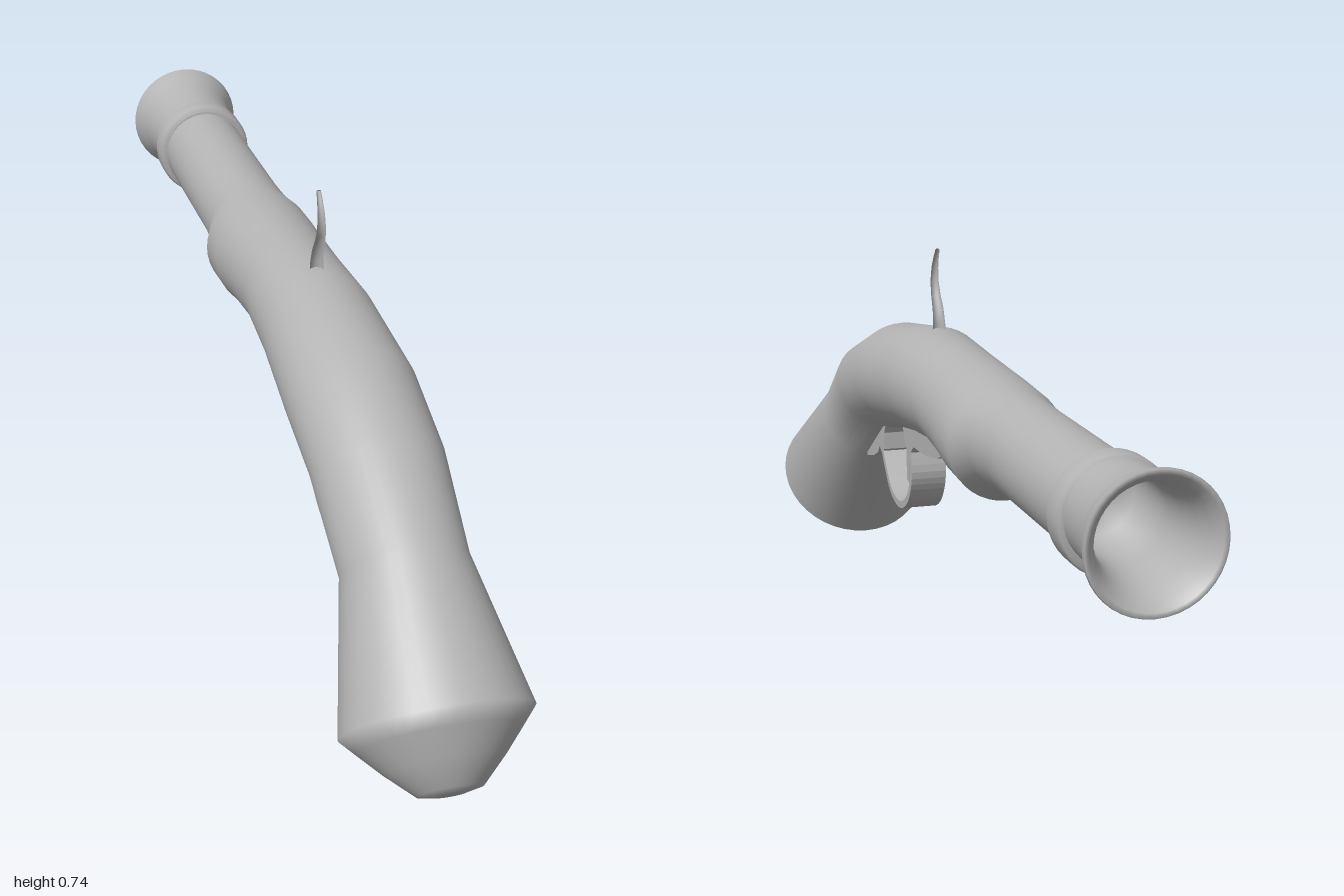
import * as THREE from 'three';

const steel = new THREE.MeshStandardMaterial({ color: 0xb4b4b4 });
steel.name = 'plain grey';

// Smooth skin over closed elliptical rings, each given as { c: centre, a, b: half axes }
function loft(rings, seg = 40) {
  const pos = [], idx = [];
  for (const { c, a, b } of rings) {
    for (let j = 0; j < seg; j++) {
      const t = (j / seg) * Math.PI * 2;
      const p = c.clone().addScaledVector(a, Math.cos(t)).addScaledVector(b, Math.sin(t));
      pos.push(p.x, p.y, p.z);
    }
  }
  for (let i = 0; i < rings.length - 1; i++) {
    for (let j = 0; j < seg; j++) {
      const k = (j + 1) % seg;
      const p = i * seg + j, q = i * seg + k, r = p + seg, s = q + seg;
      idx.push(p, r, q, q, r, s);
    }
  }
  const g = new THREE.BufferGeometry();
  g.setAttribute('position', new THREE.Float32BufferAttribute(pos, 3));
  g.setIndex(idx);
  g.computeVertexNormals();
  return g;
}

// Side outline (z, y) extruded across x
function sidePlate(points, width) {
  const shape = new THREE.Shape(points.map(([z, y]) => new THREE.Vector2(z, y)));
  const g = new THREE.ExtrudeGeometry(shape, { depth: width, bevelEnabled: false });
  return g.translate(0, 0, -width / 2).rotateY(-Math.PI / 2);
}

// Bent strip of even thickness along a (z, y) path
function ribbon(path, thick, width) {
  const curve = new THREE.SplineCurve(path.map(([z, y]) => new THREE.Vector2(z, y)));
  const outer = [], inner = [];
  for (let i = 0; i <= 32; i++) {
    const p = curve.getPoint(i / 32), t = curve.getTangent(i / 32);
    outer.push([p.x - t.y * thick / 2, p.y + t.x * thick / 2]);
    inner.unshift([p.x + t.y * thick / 2, p.y - t.x * thick / 2]);
  }
  return sidePlate([...outer, ...inner], width);
}

// Turned part along the barrel axis: profile of [radius, distance toward the muzzle]
function turned(profile, y) {
  const g = new THREE.LatheGeometry(profile.map(([r, d]) => new THREE.Vector2(r, d)), 40);
  return g.rotateX(-Math.PI / 2).translate(0, y, 0);
}

export function createModel() {
  const model = new THREE.Group();
  const add = (name, geometry) => {
    const mesh = new THREE.Mesh(geometry, steel);
    mesh.name = name;
    model.add(mesh);
    return mesh;
  };

  // Stock and barrel: top z, top y, bottom z, bottom y, half width
  const sections = [
    [1.0, 0.225, 0.77, 0.005, 0.157],
    [0.78, 0.367, 0.62, 0.215, 0.106],
    [0.62, 0.475, 0.46, 0.318, 0.113],
    [0.43, 0.545, 0.33, 0.35, 0.115],
    [0.18, 0.585, 0.17, 0.375, 0.105],
    [0.0, 0.582, 0.0, 0.39, 0.097],
    [-0.12, 0.579, -0.12, 0.38, 0.1],
    [-0.2, 0.577, -0.2, 0.367, 0.104],
    [-0.28, 0.573, -0.28, 0.364, 0.105],
    [-0.33, 0.571, -0.33, 0.396, 0.087],
    [-0.42, 0.57, -0.42, 0.402, 0.083],
    [-0.8, 0.573, -0.8, 0.405, 0.083],
  ];
  const rings = sections.map(([zt, yt, zb, yb, w]) => ({
    c: new THREE.Vector3(0, (yt + yb) / 2, (zt + zb) / 2),
    a: new THREE.Vector3(w, 0, 0),
    b: new THREE.Vector3(0, (yt - yb) / 2, (zt - zb) / 2),
  }));
  // Domed butt cap, shrinking rings pushed outward
  const out = new THREE.Vector3(0, -0.72, 0.69);
  const butt = rings[0];
  const dome = [[0, 0.114], [0.15, 0.113], [0.34, 0.107], [0.62, 0.065], [0.85, 0.026]];
  const cap = dome.map(([s, d]) => ({
    c: butt.c.clone().addScaledVector(out, d),
    a: butt.a.clone().multiplyScalar(s),
    b: butt.b.clone().multiplyScalar(s),
  }));
  add('stockAndBarrel', loft([...cap, ...rings]));

  // Flared muzzle with hollow bore
  add('muzzle', turned([
    [0.083, 0.78], [0.087, 0.85], [0.089, 0.89], [0.095, 0.94], [0.104, 0.97], [0.113, 0.995],
    [0.111, 1.0], [0.103, 0.998], [0.09, 0.98], [0.08, 0.95], [0.073, 0.91], [0.07, 0.86], [0.07, 0.72], [0, 0.72],
  ], 0.497));

  // Raised band behind the muzzle
  add('muzzleBand', turned([
    [0.08, 0.783], [0.093, 0.783], [0.097, 0.79], [0.097, 0.828], [0.093, 0.836], [0.08, 0.836],
  ], 0.49));

  // Ramrod with knob
  add('ramrod', turned([[0, 0.25], [0.008, 0.25], [0.008, 0.755], [0, 0.755]], 0.384));
  add('ramrodKnob', turned([
    [0, 0.742], [0.01, 0.745], [0.015, 0.754], [0.015, 0.764], [0.009, 0.771], [0, 0.773],
  ], 0.389));

  // Trigger guard: front plate, loop and tail
  add('guardPlate', sidePlate([
    [-0.02, 0.395], [-0.01, 0.38], [0.05, 0.358], [0.14, 0.342], [0.22, 0.338], [0.245, 0.318],
    [0.285, 0.332], [0.31, 0.37], [0.17, 0.4],
  ], 0.07));
  add('guardLoop', ribbon([
    [0.25, 0.33], [0.24, 0.275], [0.265, 0.225], [0.31, 0.196], [0.355, 0.19],
    [0.405, 0.203], [0.445, 0.238], [0.475, 0.272],
  ], 0.014, 0.07));
  add('guardTail', sidePlate([
    [0.43, 0.35], [0.455, 0.31], [0.455, 0.275], [0.475, 0.262], [0.495, 0.272], [0.51, 0.255],
    [0.545, 0.24], [0.605, 0.225], [0.6, 0.25], [0.5, 0.31],
  ], 0.07));

  // Trigger
  add('trigger', sidePlate([
    [0.38, 0.36], [0.37, 0.29], [0.367, 0.232], [0.348, 0.228], [0.345, 0.28], [0.335, 0.36],
  ], 0.02));

  // Curved, tapering hammer: z, y, radius
  const spur = [
    [0.155, 0.57, 0.013], [0.155, 0.595, 0.012], [0.162, 0.622, 0.0105], [0.178, 0.648, 0.009],
    [0.187, 0.672, 0.008], [0.184, 0.7, 0.0065], [0.174, 0.722, 0.005], [0.165, 0.736, 0.004], [0.165, 0.736, 0],
  ];
  add('hammer', loft(spur.map(([z, y, r], i) => {
    const p = spur[Math.max(i - 1, 0)], n = spur[Math.min(i + 1, spur.length - 1)];
    const t = new THREE.Vector3(0, n[1] - p[1], n[0] - p[0]).normalize();
    return {
      c: new THREE.Vector3(0, y, z),
      a: new THREE.Vector3(r, 0, 0),
      b: new THREE.Vector3(0, t.z, -t.y).multiplyScalar(r),
    };
  }), 14));

  return model;
}
